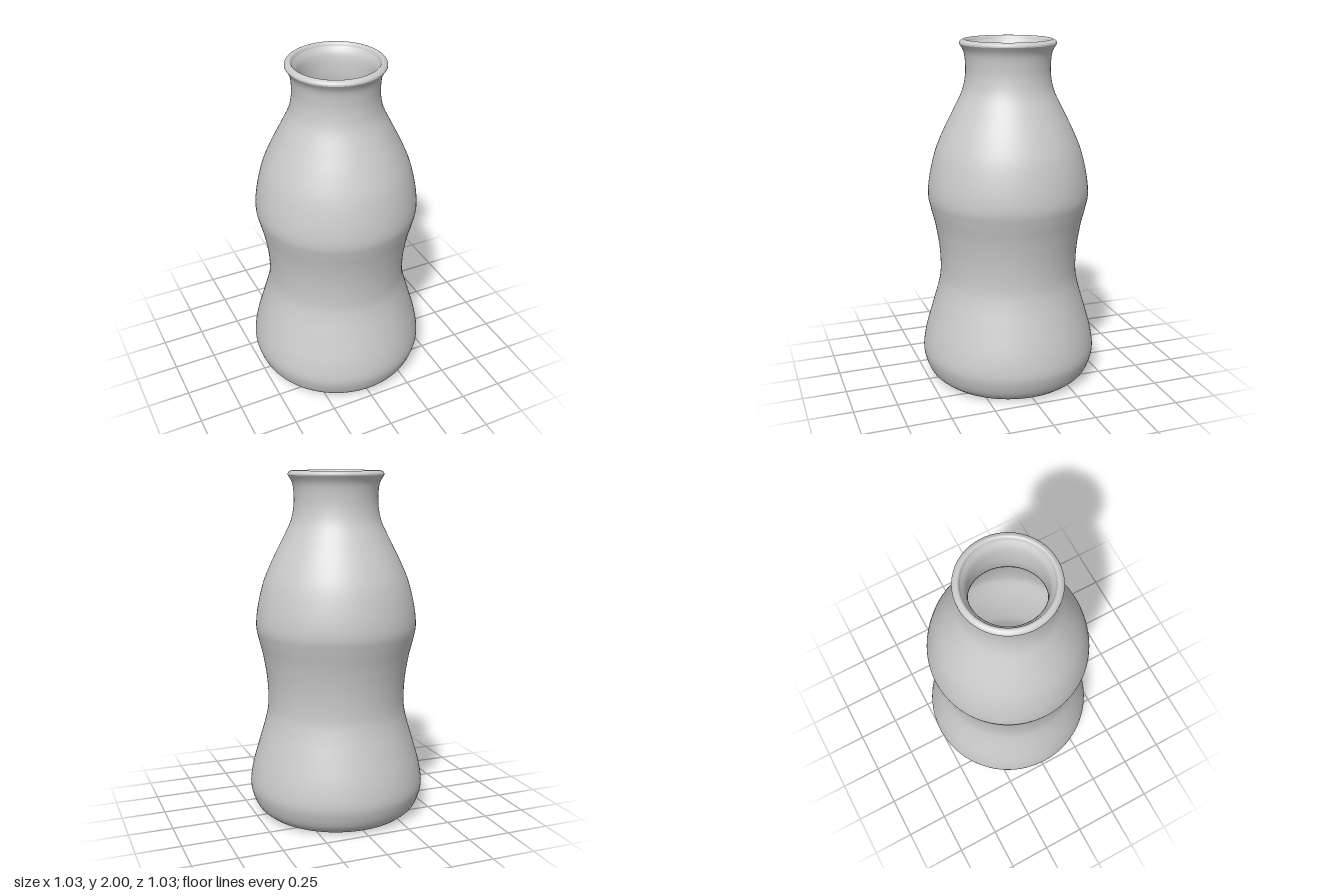
import * as THREE from 'three';

const SEGMENTS = 96;
const WALL = 0.04;
const v = (x, y) => new THREE.Vector2(x, y);

// Outer silhouette from the foot to just under the lip: [radius, height]
const silhouette = [
  [0.43, 0.005], [0.475, 0.045], [0.503, 0.11], [0.513, 0.18], [0.495, 0.29],
  [0.455, 0.43], [0.42, 0.55], [0.402, 0.65], [0.405, 0.79], [0.425, 0.93],
  [0.451, 1.04], [0.465, 1.12], [0.454, 1.23], [0.42, 1.37], [0.37, 1.49],
  [0.31, 1.61], [0.262, 1.71], [0.243, 1.79], [0.24, 1.86], [0.248, 1.93], [0.273, 1.975],
];

// Shift every point of a profile towards the axis, along its own normal
function inset(points, distance) {
  return points.map((p, i) => {
    const a = points[Math.max(i - 1, 0)];
    const b = points[Math.min(i + 1, points.length - 1)];
    const t = b.clone().sub(a).normalize();
    return v(p.x - t.y * distance, p.y + t.x * distance);
  });
}

export function createModel() {
  const material = new THREE.MeshStandardMaterial({ color: 0xcccccc });
  const model = new THREE.Group();
  model.name = 'bottle';

  const addLathe = (name, points) => {
    const mesh = new THREE.Mesh(new THREE.LatheGeometry(points, SEGMENTS), material);
    mesh.name = name;
    model.add(mesh);
  };

  const outer = new THREE.SplineCurve(silhouette.map(([r, y]) => v(r, y))).getPoints(100);

  // Outside with the flat base
  addLathe('outerWall', [v(0, 0), v(0.4, 0), v(0.415, 0), ...outer]);

  // Rounded lip joining the outside to the mouth
  const lip = new THREE.SplineCurve([
    v(0.273, 1.975), v(0.272, 1.985), v(0.262, 1.995), v(0.248, 2), v(0.238, 1.994), v(0.232, 1.98),
  ]).getPoints(16);
  addLathe('lip', lip);

  // Hollow inside, running from the mouth down to the inner floor
  const inner = inset(outer, WALL).filter((p) => p.y > 0.06 && p.y < 1.965).reverse();
  addLathe('innerWall', [v(0.232, 1.98), ...inner, v(0.4, 0.045), v(0.38, 0.04), v(0, 0.04)]);

  return model;
}
